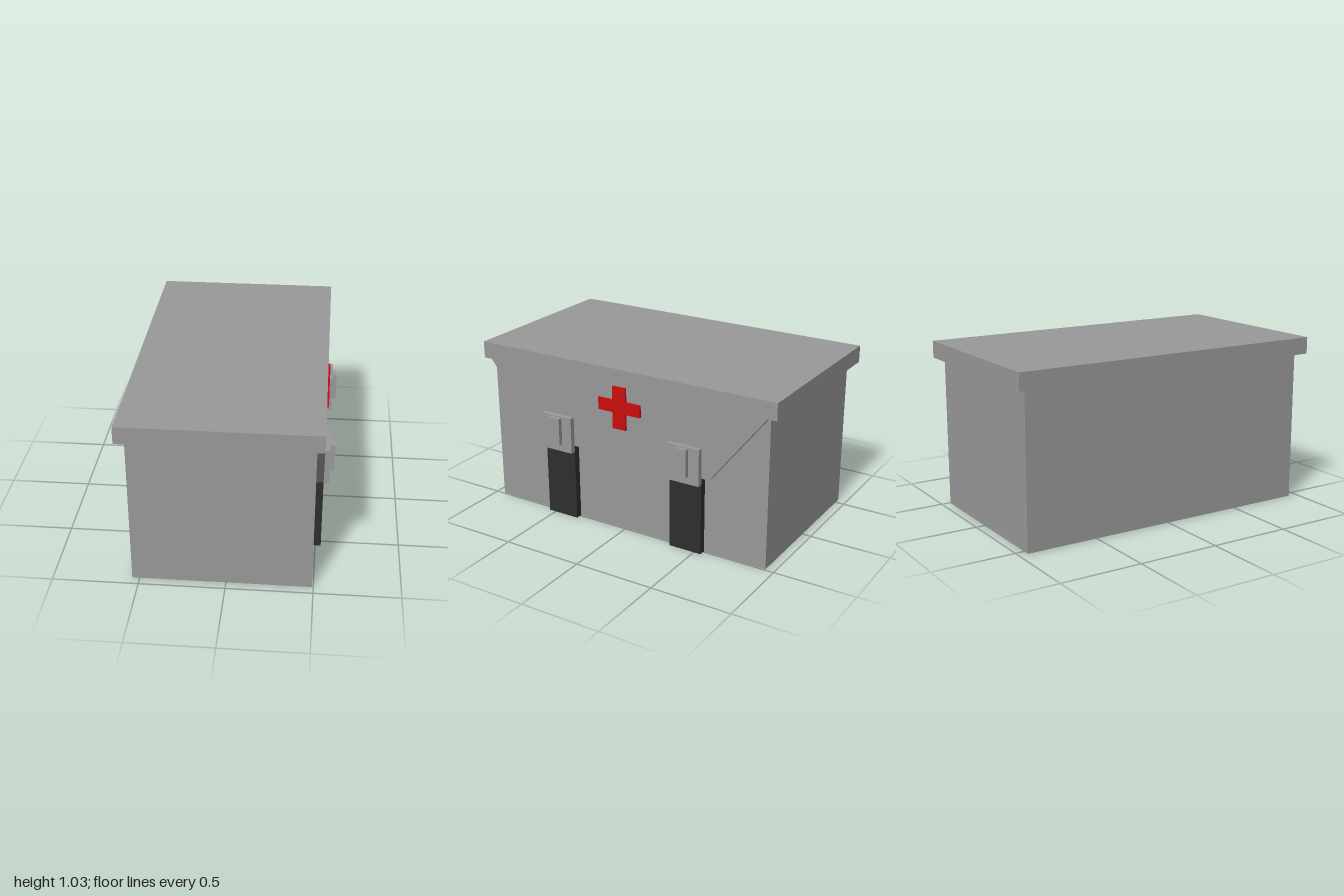
import * as THREE from 'three';

export function createModel() {
  const model = new THREE.Group();
  model.name = 'medicalCrate';

  const shell = new THREE.MeshStandardMaterial({ name: 'shell grey', color: 0x999999 });
  const dark = new THREE.MeshStandardMaterial({ name: 'strap black', color: 0x2e2e2e });
  const red = new THREE.MeshStandardMaterial({ name: 'cross red', color: 0xcc0d0d });

  const add = (name, geometry, material) => {
    const mesh = new THREE.Mesh(geometry, material);
    mesh.name = name;
    model.add(mesh);
  };

  // Box given by its limits on each axis
  const box = (name, material, [x0, x1], [y0, y1], [z0, z1]) => {
    const g = new THREE.BoxGeometry(x1 - x0, y1 - y0, z1 - z0);
    g.translate((x0 + x1) / 2, (y0 + y1) / 2, (z0 + z1) / 2);
    add(name, g, material);
  };

  // Outline in the side plane, mirrored across z = 0 and extruded along +x
  const plate = (name, material, half, x0, x1) => {
    const outline = [...half, ...half.map(([z, y]) => [-z, y]).reverse()];
    const shape = new THREE.Shape(outline.map(([z, y]) => new THREE.Vector2(z, y)));
    const g = new THREE.ExtrudeGeometry(shape, { depth: x1 - x0, bevelEnabled: false });
    g.rotateY(Math.PI / 2);
    g.translate(x0, 0, 0);
    add(name, g, material);
  };

  const wall = 0.492, face = 0.534;

  // Crate and overhanging lid
  box('body', shell, [-0.543, wall], [0, 0.93], [-0.945, 0.945]);
  box('lid', shell, [-0.593, face], [0.93, 1.033], [-1, 1]);

  // Tapered flap hanging from the lid
  plate('flap', shell, [[0.595, 0.485], [0.945, 0.93]], wall, face);

  // Raised cross on the flap
  plate('cross', red, [
    [0.045, 0.67], [0.045, 0.77], [0.143, 0.77],
    [0.143, 0.845], [0.045, 0.845], [0.045, 0.93],
  ], face, 0.547);

  // Straps with clasps and release tabs
  for (const side of [-1, 1]) {
    const z = side * 0.44;
    const label = side > 0 ? 'front' : 'back';
    box(label + 'Strap', dark, [wall, face], [0, 0.485], [z - 0.105, z + 0.105]);
    box(label + 'Clasp', shell, [face, 0.566], [0.445, 0.67], [z - 0.105, z + 0.105]);
    box(label + 'ClaspTab', shell, [0.566, 0.592], [0.493, 0.663], [z - 0.036, z + 0.036]);
  }

  return model;
}
